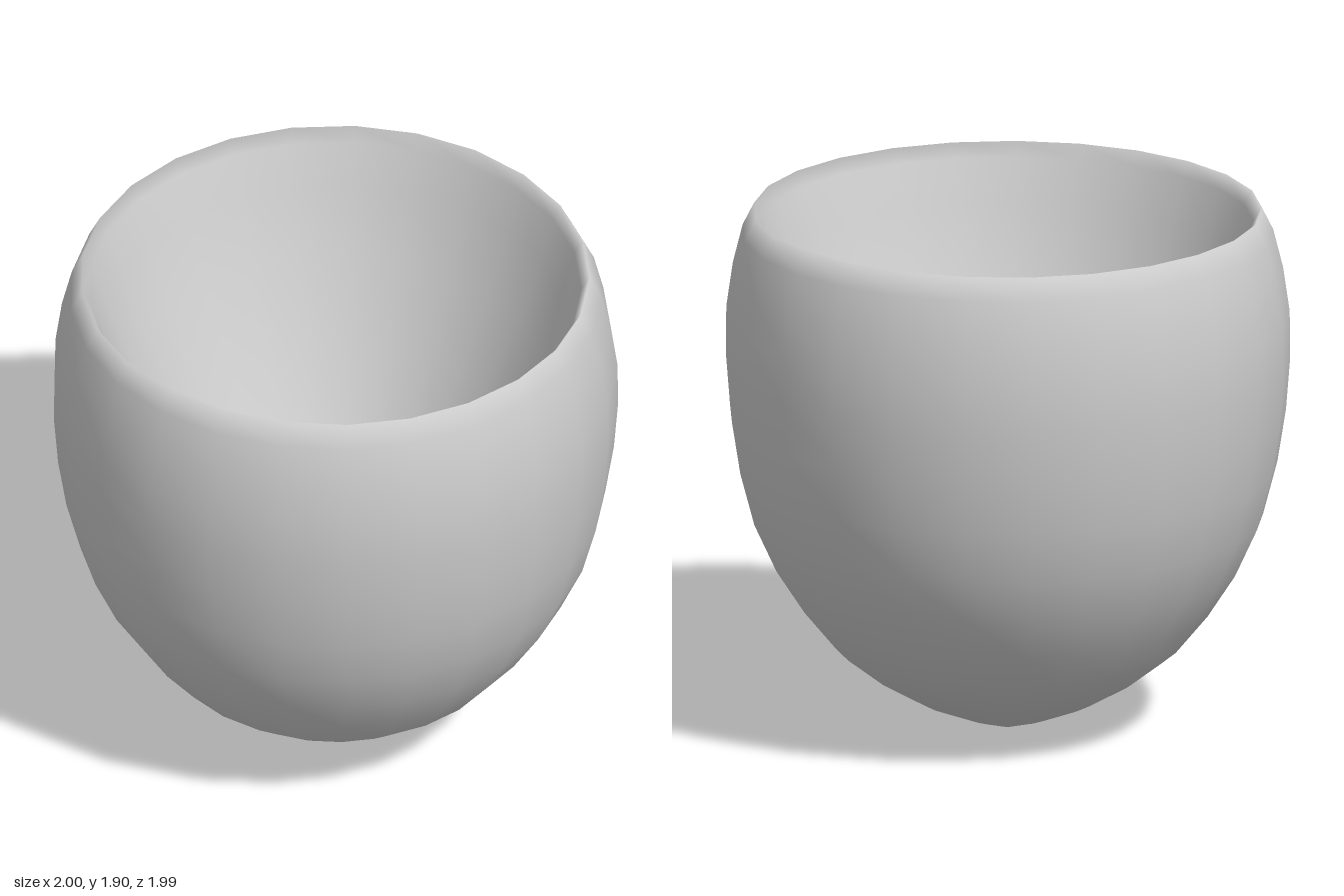
import * as THREE from 'three';

// Outer wall as [radius, height], from the pointed base to the rim
const OUTER = [
  [0, 0], [0.16, 0.05], [0.32, 0.115], [0.475, 0.205], [0.61, 0.31], [0.725, 0.45],
  [0.825, 0.605], [0.905, 0.78], [0.955, 0.97], [0.985, 1.16], [1.0, 1.35],
  [0.998, 1.52], [0.975, 1.68], [0.94, 1.82], [0.9, 1.9],
];

// Inner wall from just below the rim down to the deep, tapering centre
const INNER = [
  [0.87, 1.85], [0.82, 1.69], [0.73, 1.46], [0.6, 1.18], [0.45, 0.9],
  [0.29, 0.64], [0.13, 0.41], [0, 0.27],
];

export function createModel() {
  const group = new THREE.Group();
  const material = new THREE.MeshStandardMaterial({ color: 0xcccccc, side: THREE.DoubleSide });
  const profile = [...OUTER, ...INNER].map(([r, y]) => new THREE.Vector2(r, y));

  // 25 sides with one corner pointing straight back
  const cup = new THREE.Mesh(new THREE.LatheGeometry(profile, 25, Math.PI), material);
  cup.name = 'cup';
  cup.position.z = 0.004;
  group.add(cup);
  return group;
}
